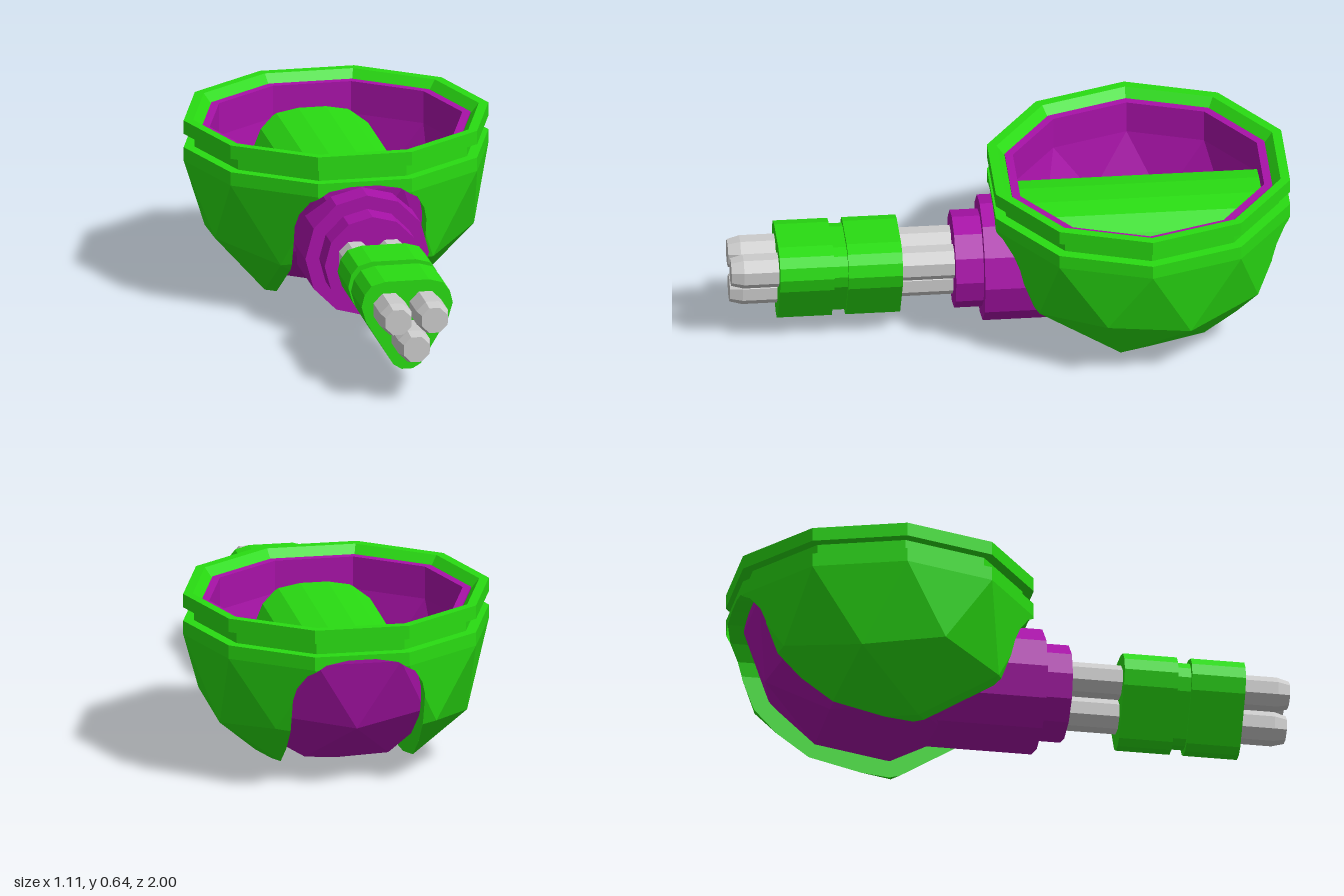
import * as THREE from 'three';

const mat = (color) => new THREE.MeshStandardMaterial({ color, flatShading: true, side: THREE.DoubleSide });
const GREEN = mat(0x29dc12), PURPLE = mat(0xa812a8), GREY = mat(0xcccccc);
const CY = 0.49;        // height of the bowl's equator
const CZ = -0.47;       // depth of the bowl's centre
const V = (x, y, z) => new THREE.Vector3(x, y, z);

// Slot outline over the barrel mount, from right to left
const half = [[0.24, 0.36], [0.228, 0.41], [0.195, 0.465], [0.13, 0.507], [0.05, 0.522]];
const ARCH = [...half, ...half.map(([x, y]) => [-x, y]).reverse()];

// Lower half of a faceted sphere with a straight ten-sided wall up to y = top
function bowlTriangles(R, top) {
  const at = (r, y, deg) => {
    const a = THREE.MathUtils.degToRad(deg);
    return V(r * Math.cos(a), y, r * Math.sin(a));
  };
  const pole = V(0, CY - R, 0);
  const low = (k) => at(0.526 * R, CY - 0.851 * R, 90 + 72 * k);
  const mid = (j) => (j % 2 === 0 ? at(0.894 * R, CY - 0.447 * R, 90 + 36 * j) : at(0.851 * R, CY - 0.526 * R, 90 + 36 * j));
  const eq = (j) => at(R, CY, 108 + 36 * j);
  const rim = (j) => at(R, top, 108 + 36 * j);
  const tris = [];
  for (let k = 0; k < 5; k++) {
    const m = 2 * k;
    tris.push([pole, low(k), low(k + 1)], [low(k), mid(m + 9), mid(m)],
      [low(k), mid(m), mid(m + 1)], [low(k), mid(m + 1), low(k + 1)]);
  }
  for (let j = 0; j < 10; j++) {
    tris.push([mid(j), eq(j), mid(j + 1)], [mid(j), eq(j + 9), eq(j)],
      [eq(j), rim(j), rim(j + 1)], [eq(j), rim(j + 1), eq(j + 1)]);
  }
  return tris;
}

// Point where a ray from inside leaves a convex bowl
function exitPoint(tris, origin, dir) {
  let t = Infinity;
  for (const [a, b, c] of tris) {
    const n = b.clone().sub(a).cross(c.clone().sub(a)).normalize();
    const f = n.dot(dir);
    if (f > 1e-6) t = Math.min(t, n.dot(a.clone().sub(origin)) / f);
  }
  return origin.clone().addScaledVector(dir, Math.max(0, t));
}

// Split a polygon by the line n.x * x + n.y * y = d; side is +1 or -1
function clip(poly, nx, ny, d, side) {
  const out = [];
  poly.forEach((p, i) => {
    const q = poly[(i + 1) % poly.length];
    const dp = side * (nx * p.x + ny * p.y - d), dq = side * (nx * q.x + ny * q.y - d);
    if (dp >= 0) out.push(p);
    if (dp * dq < 0) out.push(p.clone().lerp(q, dp / (dp - dq)));
  });
  return out;
}

// Remove everything inside the slot from a list of triangles
function cutSlot(tris) {
  const kept = [];
  const keep = (poly) => {
    for (let i = 1; i + 1 < poly.length; i++) kept.push([poly[0], poly[i], poly[i + 1]]);
  };
  const lines = [[1, 0, 0.24], [-1, 0, 0.24]];
  for (let i = 0; i + 1 < ARCH.length; i++) {
    const [x0, y0] = ARCH[i], [x1, y1] = ARCH[i + 1];
    lines.push([y1 - y0, x0 - x1, (y1 - y0) * x0 + (x0 - x1) * y0]);
  }
  for (const tri of tris) {
    let rest = tri;
    for (const [nx, ny, d] of lines) {
      keep(clip(rest, nx, ny, d, 1));
      rest = clip(rest, nx, ny, d, -1);
      if (rest.length < 3) break;
    }
  }
  return kept;
}

// Quads between two matching rows of points
function strip(a, b) {
  const tris = [];
  for (let i = 0; i + 1 < a.length; i++) tris.push([a[i], b[i], b[i + 1]], [a[i], b[i + 1], a[i + 1]]);
  return tris;
}

function facets(tris) {
  const g = new THREE.BufferGeometry().setFromPoints(tris.flat());
  g.computeVertexNormals();
  return g;
}

function add(parent, name, geometry, material, x = 0, y = 0, z = 0) {
  const m = new THREE.Mesh(geometry, material);
  m.name = name;
  m.position.set(x, y, z);
  parent.add(m);
  return m;
}

const lathe10 = (pts) => new THREE.LatheGeometry(pts.map((p) => new THREE.Vector2(...p)), 10, Math.PI / 2);

// Cylinder lying along z between z0 and z1
function rod(rFront, rBack, z0, z1, sides, turn = 0) {
  return new THREE.CylinderGeometry(rFront, rBack, z1 - z0, sides).rotateY(turn).rotateX(Math.PI / 2).translate(0, 0, (z0 + z1) / 2);
}

function createTurretBowl() {
  const g = new THREE.Group();
  g.name = 'turretBowl';
  g.position.z = CZ;
  const outer = bowlTriangles(0.555, 0.54), core = bowlTriangles(0.475, 0.6);

  // Outer shell with its slot, and the thickness of the slot's edge
  add(g, 'outerShell', facets(cutSlot(outer)), GREEN);
  const rays = [];
  for (const s of [1, -1]) {
    const front = V(0, 0, s);
    const row = ARCH.map(([x, y]) => [V(x * s, y, 0), front]).reverse();
    rays.push(...row);
    for (let i = 1; i < 40; i++) {
      const a = (i / 40) * Math.PI;
      rays.push([V(0.24 * s, 0.36, 0), V(0, -Math.sin(a), s * Math.cos(a))]);
    }
  }
  rays.push(rays[0]);
  const edge = (hull) => rays.map(([o, d]) => exitPoint(hull, o, d));
  add(g, 'slotEdge', facets(strip(edge(outer), edge(core))), GREEN);

  // Grooved rim
  add(g, 'rim', lathe10([[0.49, 0.54], [0.555, 0.54], [0.515, 0.54], [0.515, 0.59], [0.555, 0.59], [0.555, 0.64], [0.52, 0.64], [0.488, 0.6]]), GREEN);

  // Inner bowl
  add(g, 'innerBowlOutside', facets(bowlTriangles(0.49, 0.61)), PURPLE);
  add(g, 'innerBowlInside', facets(bowlTriangles(0.46, 0.61).map((t) => t.reverse())), PURPLE);
  add(g, 'innerBowlRim', lathe10([[0.49, 0.61], [0.46, 0.61]]), PURPLE);

  // Arched cover running through the bowl
  const legs = [0.08, 0.12, 0.16, 0.2, 0.24, 0.28, 0.32];
  const profile = [...legs.map((y) => [0.24, y]), ...ARCH, ...legs.map((y) => [-0.24, y]).reverse()];
  const end = (s) => profile.map(([x, y]) => exitPoint(core, V(x, y, 0), V(0, 0, s)));
  add(g, 'archCover', facets(strip(end(1), end(-1))), GREEN);
  return g;
}

function createGun() {
  const g = new THREE.Group();
  g.name = 'gun';

  // Stepped mount
  add(g, 'mountBase', rod(0.225, 0.225, -0.45, 0.1, 12), PURPLE, 0, 0.275);
  add(g, 'mountCollar', rod(0.175, 0.175, 0.05, 0.2, 12), PURPLE, 0, 0.275);

  // Three barrels with chamfered muzzles
  for (const [x, y] of [[-0.066, 0.305], [0.066, 0.305], [0, 0.2]]) {
    add(g, 'barrel', rod(0.062, 0.062, 0.15, 0.955, 8, Math.PI / 8), GREY, x, y);
    add(g, 'muzzle', rod(0.05, 0.062, 0.955, 1, 8, Math.PI / 8), GREY, x, y);
  }

  // Rounded triangular clamps joined by a thinner neck
  const side = [[0.02, 0.077], [0.05, 0.095], [0.15, 0.26], [0.166, 0.315], [0.155, 0.36], [0.13, 0.392], [0.08, 0.406]];
  const outline = [...side, ...side.map(([x, y]) => [-x, y]).reverse()];
  const clamp = (name, z0, z1, s) => {
    const shape = new THREE.Shape(outline.map(([x, y]) => new THREE.Vector2(x * s, 0.26 + (y - 0.26) * s)));
    add(g, name, new THREE.ExtrudeGeometry(shape, { depth: z1 - z0, bevelEnabled: false }), GREEN, 0, 0, z0);
  };
  clamp('rearClamp', 0.39, 0.585, 1);
  clamp('clampNeck', 0.57, 0.65, 0.89);
  clamp('frontClamp', 0.635, 0.83, 1);
  return g;
}

export function createModel() {
  const model = new THREE.Group();
  model.name = 'gunTurret';
  model.add(createTurretBowl(), createGun());
  return model;
}
